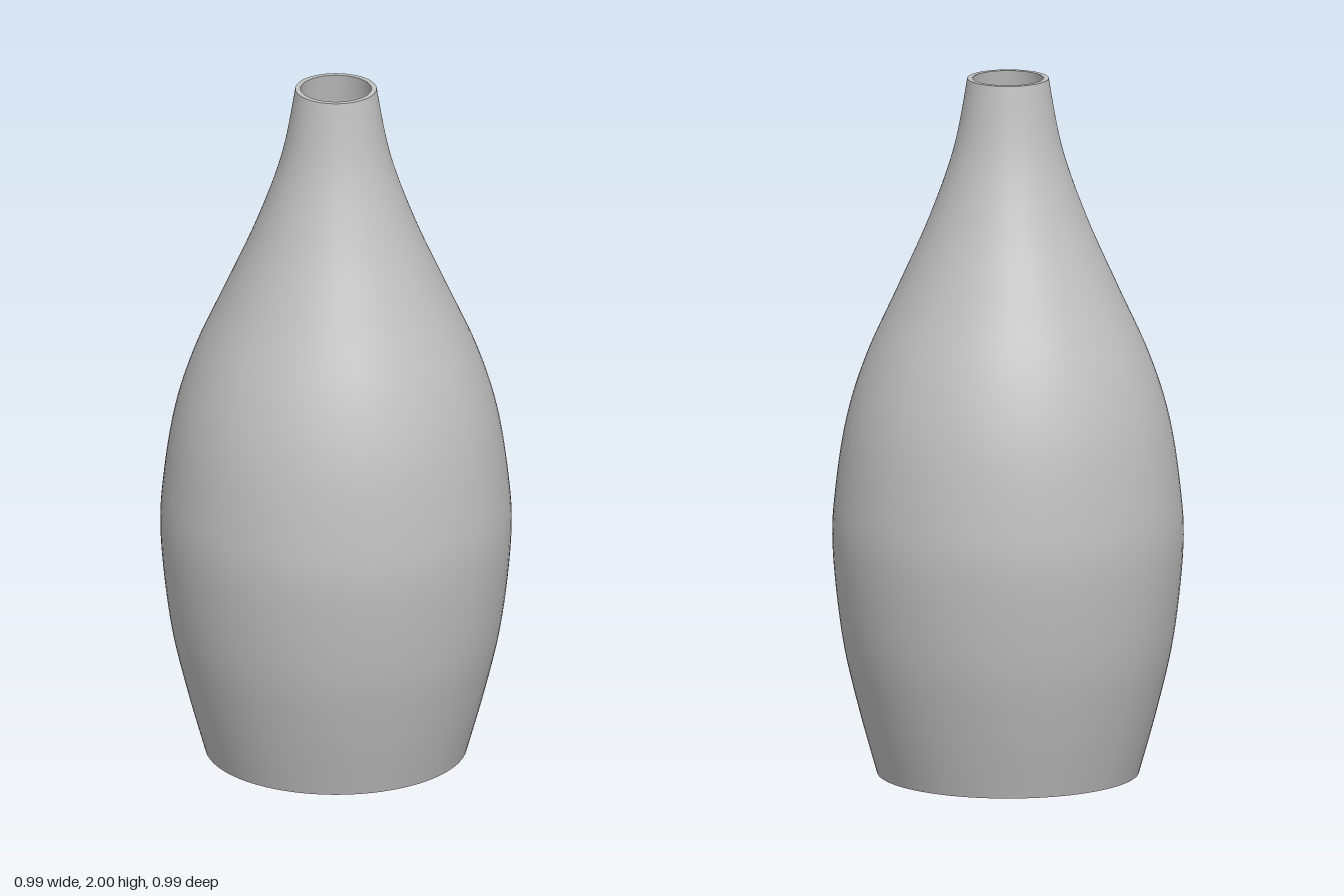
import * as THREE from 'three';

const SEGMENTS = 96;
const WALL = 0.015;

export function createModel() {
  const group = new THREE.Group();
  group.name = 'vase';
  const ceramic = new THREE.MeshStandardMaterial({ color: 0xc0c0c0 });
  ceramic.name = 'grey ceramic';

  const add = (name, geometry) => {
    const mesh = new THREE.Mesh(geometry, ceramic);
    mesh.name = name;
    group.add(mesh);
    return mesh;
  };

  // Silhouette from foot to lip: radius, height
  const outer = new THREE.SplineCurve([
    [0.37, 0], [0.425, 0.2], [0.469, 0.4], [0.495, 0.65], [0.487, 0.82],
    [0.456, 1.02], [0.4, 1.2], [0.31, 1.4], [0.222, 1.6], [0.153, 1.8], [0.115, 2],
  ].map(([r, y]) => new THREE.Vector2(r, y))).getPoints(60);

  // Inner wall, running from lip down to the floor so it faces inward
  const inner = outer
    .map((p) => new THREE.Vector2(p.x - WALL, Math.max(p.y, WALL)))
    .reverse();

  add('outerWall', new THREE.LatheGeometry(outer, SEGMENTS));
  add('innerWall', new THREE.LatheGeometry(inner, SEGMENTS));

  // Flat lip, underside and inside floor
  const lip = add('lip', new THREE.RingGeometry(0.115 - WALL, 0.115, SEGMENTS, 1));
  lip.rotation.x = -Math.PI / 2;
  lip.position.y = 2;

  const base = add('base', new THREE.CircleGeometry(0.37, SEGMENTS));
  base.rotation.x = Math.PI / 2;

  const floor = add('insideFloor', new THREE.CircleGeometry(0.37 - WALL, SEGMENTS));
  floor.rotation.x = -Math.PI / 2;
  floor.position.y = WALL;

  return group;
}
